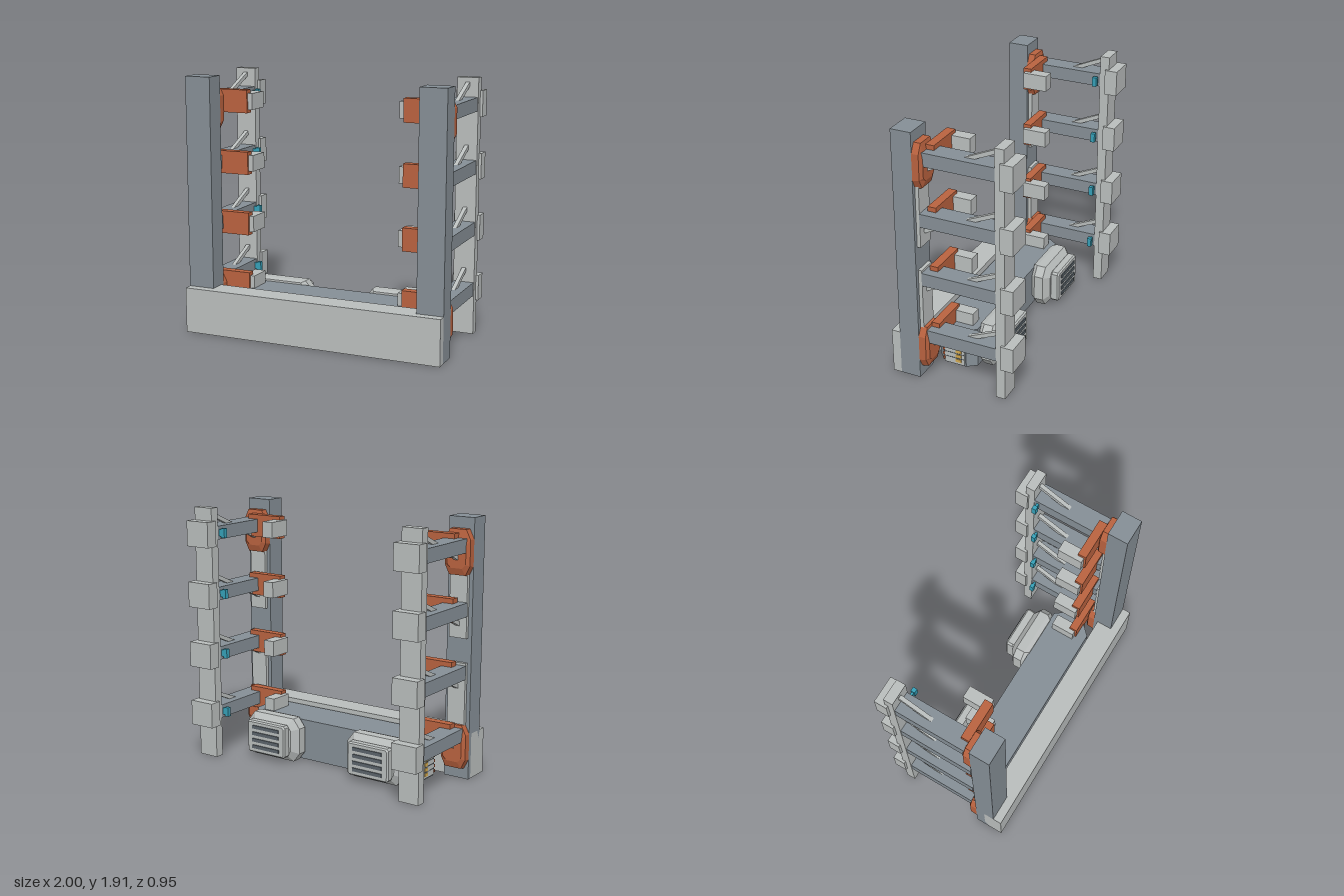
import * as THREE from 'three';

const mat = (name, color) => {
  const m = new THREE.MeshStandardMaterial({ color });
  m.name = name;
  return m;
};

// Flat-faced solid through chamfered rectangles [z, centreX, halfWidth, yLow, yHigh, cutX, cutY], z rising
function loft(sections) {
  const rings = sections.map(([z, cx, w, y0, y1, a, b]) => [
    [cx - w + a, y0, z], [cx + w - a, y0, z], [cx + w, y0 + b, z], [cx + w, y1 - b, z],
    [cx + w - a, y1, z], [cx - w + a, y1, z], [cx - w, y1 - b, z], [cx - w, y0 + b, z],
  ]);
  const p = [];
  const tri = (...c) => c.forEach((v) => p.push(...v));
  for (let k = 0; k < rings.length - 1; k++) {
    const A = rings[k], B = rings[k + 1];
    for (let i = 0; i < 8; i++) {
      const j = (i + 1) % 8;
      tri(A[i], A[j], B[j]);
      tri(A[i], B[j], B[i]);
    }
  }
  const F = rings[0], L = rings[rings.length - 1];
  for (let i = 1; i < 7; i++) {
    tri(F[0], F[i + 1], F[i]);
    tri(L[0], L[i], L[i + 1]);
  }
  const g = new THREE.BufferGeometry();
  g.setAttribute('position', new THREE.Float32BufferAttribute(p, 3));
  g.computeVertexNormals();
  return g;
}

export function createModel() {
  const root = new THREE.Group();
  root.name = 'rackFrame';
  const slate = mat('slate grey', 0x858e95);
  const light = mat('light grey', 0xb9bdbc);
  const orange = mat('burnt orange', 0xb9623f);
  const yellow = mat('amber', 0xd2a84e);
  const dark = mat('dark grey', 0x5a636a);
  const cyan = mat('cyan', 0x36a0b8);

  const add = (name, geo, m, parent = root) => {
    const mesh = new THREE.Mesh(geo, m);
    mesh.name = name;
    parent.add(mesh);
    return mesh;
  };
  // Box given by its limits; s = -1 mirrors it across x = 0
  const box = (name, m, s, [x0, x1], [y0, y1], [z0, z1], parent) => {
    const mesh = add(name, new THREE.BoxGeometry(x1 - x0, y1 - y0, z1 - z0), m, parent);
    mesh.position.set((s * (x0 + x1)) / 2, (y0 + y1) / 2, (z0 + z1) / 2);
    return mesh;
  };

  // Front beam
  box('frontBeam', light, 1, [-1, 1], [0, 0.34], [0.29, 0.475]);

  // Central housing with cut corners
  const plan = new THREE.Shape([
    [-0.66, -0.275], [0.66, -0.275], [0.745, -0.19], [0.745, -0.02],
    [0.695, 0.05], [-0.695, 0.05], [-0.745, -0.02], [-0.745, -0.19],
  ].map(([x, y]) => new THREE.Vector2(x, y)));
  const housing = new THREE.ExtrudeGeometry(plan, { depth: 0.31, bevelEnabled: false });
  housing.rotateX(-Math.PI / 2);
  add('housing', housing, slate);

  for (const s of [1, -1]) {
    const side = new THREE.Group();
    side.name = s > 0 ? 'leftSide' : 'rightSide';
    root.add(side);

    // Uprights
    box('frontPost', slate, s, [0.8, 1], [0, 1.91], [0.257, 0.41], side);
    box('backPost', light, s, [0.82, 0.98], [0, 1.91], [-0.405, -0.335], side);

    // Cover strips on the back of the front post
    for (const [y0, y1] of [[1.05, 1.51], [0.41, 0.87]])
      box('coverStrip', light, s, [0.83, 0.97], [y0, y1], [0.23, 0.258], side);

    // Orange gusset pads
    for (const y of [0.08, 1.495])
      add('gussetPad', loft([
        [0.187, s * 0.9, 0.075, y + 0.06, y + 0.25, 0.03, 0.03],
        [0.205, s * 0.9, 0.1, y + 0.01, y + 0.335, 0.035, 0.07],
        [0.258, s * 0.9, 0.1, y, y + 0.335, 0.035, 0.07],
      ]), orange, side);

    // Four levels of arms
    for (let i = 0; i < 4; i++) {
      const y = 0.345 + i * 0.458;
      const level = new THREE.Group();
      level.name = 'armLevel' + (i + 1);
      side.add(level);
      box('arm', slate, s, [0.825, 0.975], [y - 0.05, y + 0.05], [-0.336, 0.23], level);
      box('backBlock', light, s, [0.8, 1], [y - 0.095, y + 0.095], [-0.475, -0.38], level);
      box('bracket', orange, s, [0.61, 0.91], [y - 0.085, y + 0.085], [0.137, 0.2], level);
      box('bracketPad', light, s, [0.575, 0.665], [y - 0.06, y + 0.06], [0, 0.185], level);
      box('clipStem', cyan, s, [0.79, 0.83], [y - 0.025, y + 0.025], [-0.318, -0.3], level);
      box('clipHead', cyan, s, [0.768, 0.8], [y - 0.035, y + 0.035], [-0.325, -0.293], level);
      // Diagonal brace running through the arm
      const brace = add('brace', new THREE.BoxGeometry(0.03, 0.03, 0.625), light, level);
      brace.position.set(s * 0.9, y + 0.018, -0.053);
      brace.rotation.x = Math.atan2(0.25, 0.565);
    }

    // Ribbed panel on the end of the housing
    box('endPanel', light, s, [0.735, 0.752], [0.01, 0.295], [0.03, 0.19], side);
    for (let i = 0; i < 7; i++) {
      const y = 0.025 + i * 0.039;
      box('amberLamp', yellow, s, [0.745, 0.756], [y, y + 0.025], [0.055, 0.1], side);
      box('panelGroove', dark, s, [0.745, 0.754], [y + 0.029, y + 0.034], [0.035, 0.185], side);
      box('panelTab', orange, s, [0.73, 0.754], [y, y + 0.02], [0.188, 0.203], side);
    }

    // Rear pod with vented cap
    const x = s * 0.46;
    add('pod', loft([
      [-0.19, x, 0.185, 0.05, 0.29, 0.03, 0.04],
      [-0.15, x, 0.24, 0, 0.335, 0.055, 0.07],
      [-0.08, x, 0.24, 0, 0.335, 0.055, 0.07],
      [-0.045, x, 0.21, 0.01, 0.325, 0.05, 0.07],
    ]), light, side);
    add('podCap', loft([
      [-0.257, x, 0.165, 0.055, 0.285, 0.012, 0.012],
      [-0.245, x, 0.175, 0.045, 0.295, 0.015, 0.015],
      [-0.2, x, 0.175, 0.045, 0.295, 0.015, 0.015],
      [-0.185, x, 0.165, 0.055, 0.285, 0.012, 0.012],
    ]), light, side);
    for (let i = 0; i < 4; i++) {
      const y = 0.08 + i * 0.052;
      box('ventSlat', dark, s, [0.335, 0.585], [y, y + 0.026], [-0.265, -0.256], side);
    }
  }
  return root;
}
